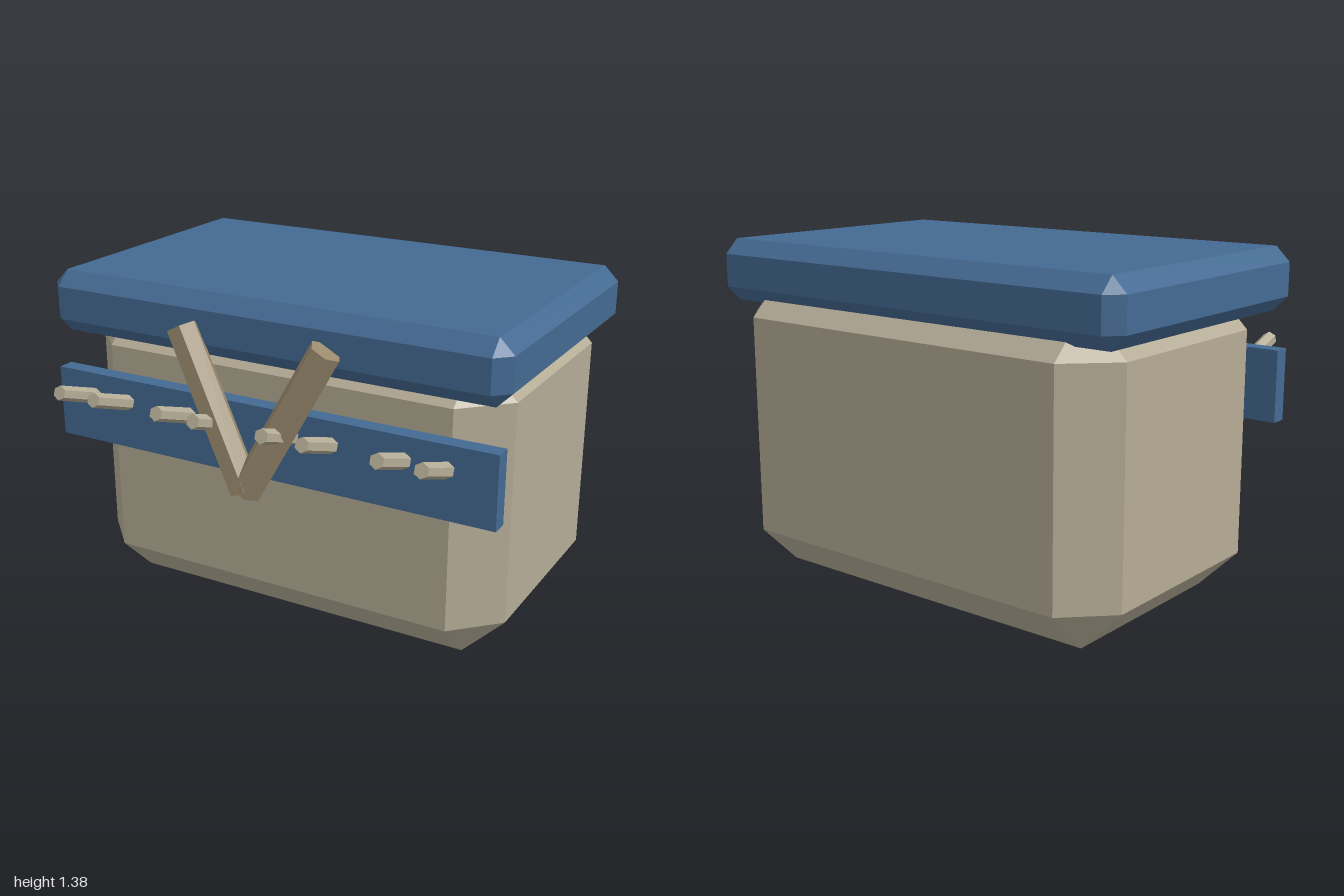
import * as THREE from 'three';
import { ConvexGeometry } from 'three/addons/geometries/ConvexGeometry.js';

const blue = new THREE.MeshStandardMaterial({ color: 0x446a92, flatShading: true });
const stone = new THREE.MeshStandardMaterial({ color: 0xb5ac96, flatShading: true });
const wood = new THREE.MeshStandardMaterial({ color: 0x9a8b6e, flatShading: true });

// Box with every edge cut at 45 degrees by c
function chamferBox(w, h, d, c) {
  const points = [];
  for (const sx of [-1, 1]) for (const sy of [-1, 1]) for (const sz of [-1, 1]) {
    const x = w / 2, y = h / 2, z = d / 2;
    points.push(
      new THREE.Vector3(sx * x, sy * (y - c), sz * (z - c)),
      new THREE.Vector3(sx * (x - c), sy * y, sz * (z - c)),
      new THREE.Vector3(sx * (x - c), sy * (y - c), sz * z));
  }
  return new ConvexGeometry(points);
}

export function createModel() {
  const model = new THREE.Group();
  model.name = 'chest';

  function add(name, geometry, material, x, y, z) {
    const mesh = new THREE.Mesh(geometry, material);
    mesh.name = name;
    mesh.position.set(x, y, z);
    model.add(mesh);
    return mesh;
  }

  // Six-sided rod between two points
  function rod(name, from, to, rFrom, rTo, twist, material) {
    const a = new THREE.Vector3(...from), b = new THREE.Vector3(...to);
    const axis = b.clone().sub(a);
    const geometry = new THREE.CylinderGeometry(rTo, rFrom, axis.length(), 6).rotateY(twist);
    const mid = a.clone().add(b).multiplyScalar(0.5);
    const mesh = add(name, geometry, material, mid.x, mid.y, mid.z);
    mesh.quaternion.setFromUnitVectors(new THREE.Vector3(0, 1, 0), axis.normalize());
  }

  // Main volumes
  add('body', chamferBox(1.88, 1.255, 1.175, 0.175), stone, 0, 0.6275, -0.157);
  add('lid', chamferBox(2, 0.255, 1.252, 0.06), blue, 0, 1.2575, -0.1);
  add('frontPanel', new THREE.BoxGeometry(1.96, 0.295, 0.07), blue, 0, 0.8275, 0.475);

  // Mirrored V bars and upward-tilted pegs
  for (const side of [-1, 1]) {
    const label = side > 0 ? 'left' : 'right';
    rod(label + 'Bar', [0, 0.668, 0.622], [side * 0.315, 1.26, 0.557], 0.064, 0.064, Math.PI / 6, wood);
    [0.15, 0.32, 0.62, 0.79].forEach((x, i) =>
      rod(label + 'Peg' + (i + 1), [side * x, 0.885, 0.528], [side * x, 0.963, 0.74], 0.032, 0.03, 0, stone));
  }
  return model;
}
